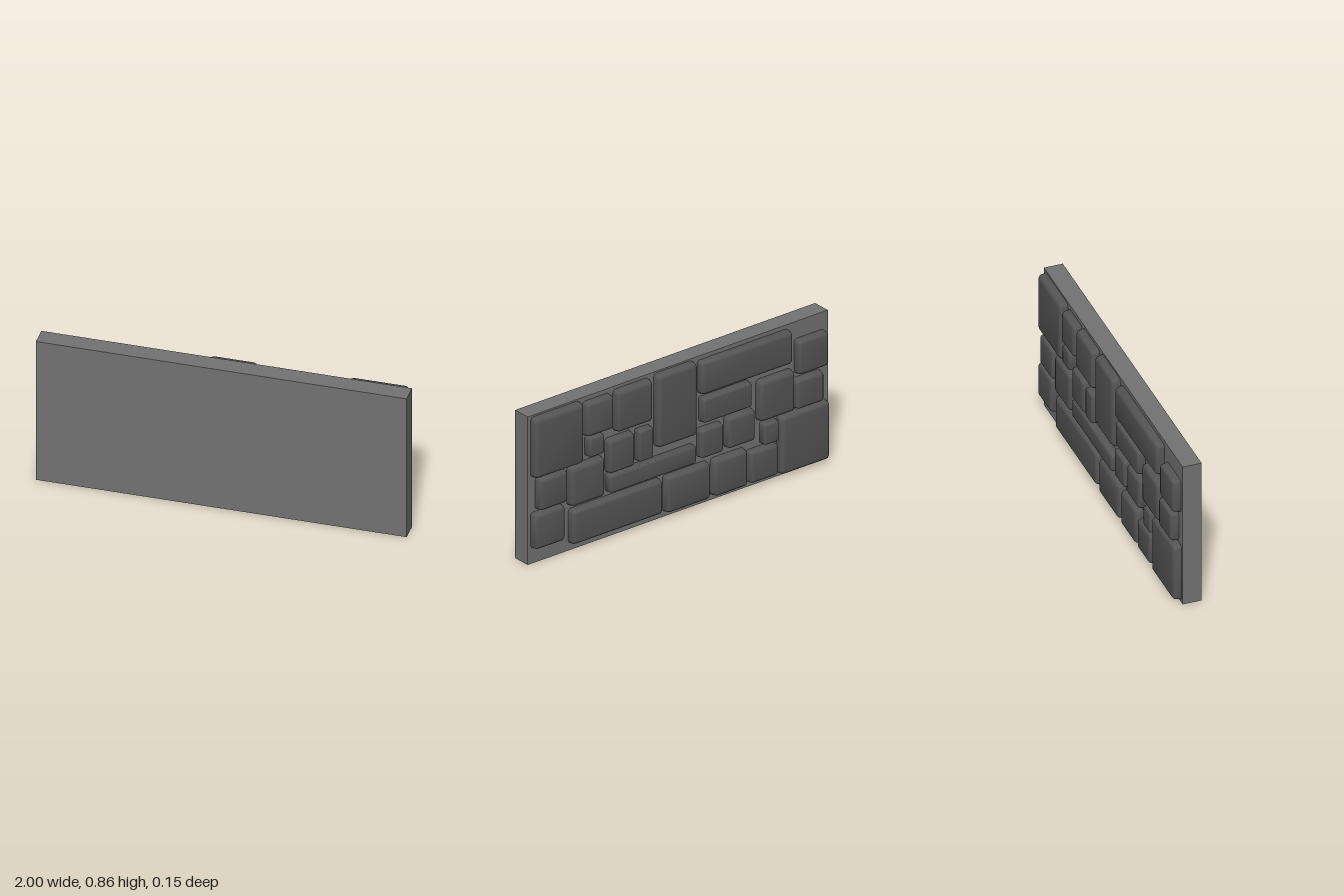
import * as THREE from 'three';
import { toCreasedNormals } from 'three/addons/utils/BufferGeometryUtils.js';

const HEIGHT = 0.856, FRONT = 0.075, BACK = -0.03, RELIEF = -0.075;

// Stones as [xMin, xMax, yMin, yMax]
const STONES = [
  // top course
  [0.652, 0.982, 0.497, 0.848], [0.455, 0.637, 0.635, 0.832], [0.193, 0.435, 0.597, 0.84],
  [-0.103, 0.163, 0.423, 0.848], [-0.738, -0.128, 0.641, 0.834], [-0.978, -0.773, 0.556, 0.758],
  // middle courses
  [0.761, 0.952, 0.305, 0.492], [0.519, 0.622, 0.515, 0.628], [0.512, 0.742, 0.261, 0.493],
  [0.316, 0.489, 0.377, 0.574], [0.193, 0.29, 0.387, 0.568], [-0.092, 0.484, 0.266, 0.37],
  [-0.467, -0.138, 0.476, 0.622], [-0.275, -0.123, 0.276, 0.445], [-0.489, -0.303, 0.276, 0.459],
  [-0.754, -0.518, 0.362, 0.602], [-0.946, -0.761, 0.362, 0.537], [-0.642, -0.543, 0.226, 0.35],
  // bottom course
  [0.778, 0.982, 0.088, 0.297], [0.128, 0.732, 0.04, 0.242], [-0.192, 0.104, 0.028, 0.242],
  [-0.439, -0.213, 0.026, 0.242], [-0.642, -0.453, 0.028, 0.215], [-0.987, -0.658, 0.014, 0.356],
];

// Rectangle with slightly rounded corners
function roundedRect(w, h, r) {
  const s = new THREE.Shape();
  s.absarc(w / 2 - r, h / 2 - r, r, 0, Math.PI / 2);
  s.absarc(-w / 2 + r, h / 2 - r, r, Math.PI / 2, Math.PI);
  s.absarc(-w / 2 + r, -h / 2 + r, r, Math.PI, Math.PI * 1.5);
  s.absarc(w / 2 - r, -h / 2 + r, r, Math.PI * 1.5, Math.PI * 2);
  s.closePath();
  return s;
}

// Stone with softened edges and sides leaning in towards its face; larger stones are softer
function stoneGeometry(w, h) {
  const bevel = Math.min(0.018, 0.08 * Math.min(w, h));
  const geometry = new THREE.ExtrudeGeometry(roundedRect(w - 2 * bevel, h - 2 * bevel, 0.004), {
    depth: 0.04, bevelEnabled: true, bevelThickness: bevel, bevelSize: bevel,
    bevelSegments: 3, curveSegments: 2,
  });
  geometry.translate(0, 0, RELIEF + bevel);
  const p = geometry.attributes.position;
  for (let i = 0; i < p.count; i++) {
    const rise = Math.max(0, (BACK - p.getZ(i)) / (BACK - RELIEF));
    const inset = 0.4 * bevel * rise;
    p.setX(i, p.getX(i) - Math.sign(p.getX(i)) * inset);
    p.setY(i, p.getY(i) - Math.sign(p.getY(i)) * inset);
  }
  return toCreasedNormals(geometry, 0.7);
}

export function createModel() {
  const model = new THREE.Group();
  model.name = 'stoneWallPanel';
  const slabMaterial = new THREE.MeshStandardMaterial({ color: 0x737373 });
  const stoneMaterial = new THREE.MeshStandardMaterial({ color: 0x555555 });

  // Flat backing slab
  const slab = new THREE.Mesh(new THREE.BoxGeometry(2, HEIGHT, FRONT - BACK), slabMaterial);
  slab.name = 'slab';
  slab.position.set(0, HEIGHT / 2, (FRONT + BACK) / 2);
  model.add(slab);

  // Raised stones on the rear face
  const stones = new THREE.Group();
  stones.name = 'stones';
  for (const [x0, x1, y0, y1] of STONES) {
    const stone = new THREE.Mesh(stoneGeometry(x1 - x0, y1 - y0), stoneMaterial);
    stone.name = 'stone';
    stone.position.set((x0 + x1) / 2, (y0 + y1) / 2, 0);
    stones.add(stone);
  }
  model.add(stones);
  return model;
}
